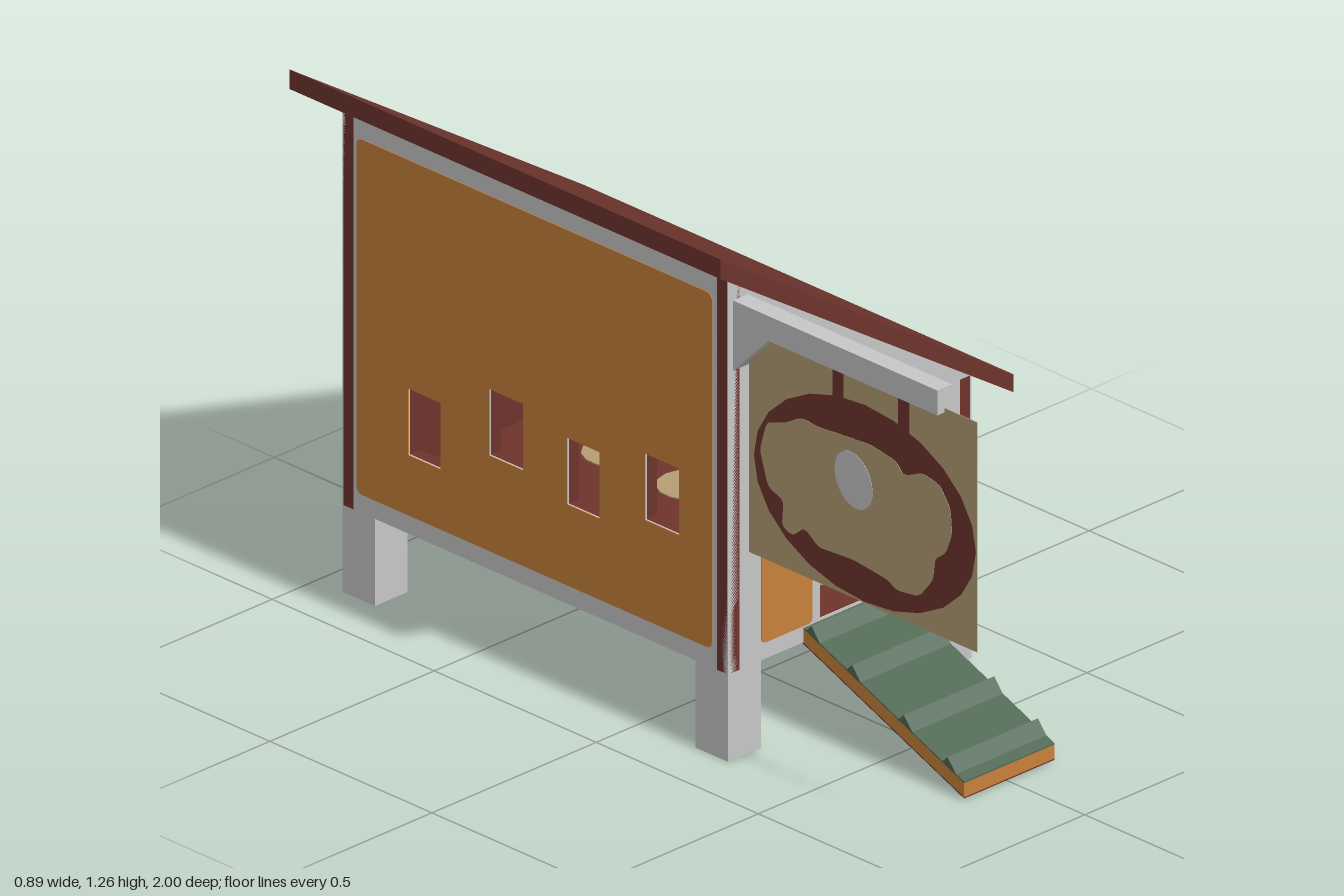
import * as THREE from 'three';

const mat = (name, color) => Object.assign(new THREE.MeshStandardMaterial({ color }), { name });

export function createModel() {
  const grey = mat('plaster grey', 0xc6c6c8);
  const orange = mat('panel orange', 0xc8803a);
  const red = mat('dark red wood', 0x6e342d);
  const tan = mat('tan', 0xb59e73);
  const green = mat('ramp green', 0x4f6854);
  const model = new THREE.Group();

  const add = (name, geometry, material, parent = model) => {
    const mesh = new THREE.Mesh(geometry, material);
    mesh.name = name;
    parent.add(mesh);
    return mesh;
  };
  const box = (name, x0, x1, y0, y1, z0, z1, material) => {
    const mesh = add(name, new THREE.BoxGeometry(x1 - x0, y1 - y0, z1 - z0), material);
    mesh.position.set((x0 + x1) / 2, (y0 + y1) / 2, (z0 + z1) / 2);
    return mesh;
  };
  const shapeOf = pts => new THREE.Shape(pts.map(p => new THREE.Vector2(...p)));
  const rect = (x0, x1, y0, y1) => [[x0, y0], [x1, y0], [x1, y1], [x0, y1]];
  const mirror = pts => pts.map(([x, y]) => [-x, y]);
  // Polygon with softened corners
  const roundPoly = (pts, r) => {
    const shape = new THREE.Shape();
    const v = pts.map(p => new THREE.Vector2(...p));
    v.forEach((p, i) => {
      const toward = q => p.clone().lerp(q, Math.min(0.5, r / p.distanceTo(q)));
      const a = toward(v[(i + v.length - 1) % v.length]);
      const b = toward(v[(i + 1) % v.length]);
      if (i === 0) shape.moveTo(a.x, a.y); else shape.lineTo(a.x, a.y);
      shape.quadraticCurveTo(p.x, p.y, b.x, b.y);
    });
    shape.closePath();
    return shape;
  };
  // Extrusion from z0 to z1, with rectangular openings
  const slab = (shape, z0, z1, holes = []) => {
    const s = shape.clone();
    holes.forEach(h => s.holes.push(new THREE.Path(h.map(p => new THREE.Vector2(...p)))));
    return new THREE.ExtrudeGeometry(s, { depth: z1 - z0, bevelEnabled: false, curveSegments: 6 })
      .translate(0, 0, z0);
  };
  // Profile drawn in (z, y), extruded across x
  const across = (shape, x0, x1) => slab(shape, -x1, -x0).rotateY(-Math.PI / 2);

  // Wall: red core, grey facing and orange panels
  const wall = (name, outline, panels, holes) => {
    const group = new THREE.Group();
    group.name = name;
    add(name + 'Core', slab(shapeOf(outline), -0.035, -0.004, holes), red, group);
    add(name + 'Facing', slab(shapeOf(outline), -0.004, 0, holes), grey, group);
    panels.forEach(({ shape, cut = [] }) => add(name + 'Panel', slab(shape, 0, 0.002, cut), orange, group));
    model.add(group);
    return group;
  };

  const X0 = -0.365, X1 = 0.375, Z0 = -0.92, Z1 = 0.27, LOW = 0.21;
  const gable = [[X0, LOW], [X1, LOW], [X1, 0.68], [X0, 1.155]];

  // Front wall with door and two small windows
  const doorPanel = [
    [-0.265, 0.25], [-0.11, 0.25], [-0.11, 0.45], [-0.143, 0.46], [-0.138, 0.54], [-0.11, 0.517],
    [-0.075, 0.517], [-0.05, 0.55], [-0.025, 0.57], [0.025, 0.57], [0.06, 0.55], [0.09, 0.515],
    [0.115, 0.513], [0.155, 0.537], [0.157, 0.457], [0.115, 0.445], [0.115, 0.25], [0.27, 0.25],
    [0.27, 0.612], [-0.265, 0.612]];
  const frontPanels = [
    roundPoly(doorPanel, 0.015),
    roundPoly([[-0.265, 0.83], [0.06, 0.83], [0.04, 0.85], [-0.25, 1.04], [-0.265, 1.035]], 0.008),
    shapeOf([[-0.265, 0.675], [-0.255, 0.67], [-0.15, 0.67], [-0.15, 0.77], [-0.255, 0.775], [-0.265, 0.77]]),
    shapeOf(rect(-0.08, 0.08, 0.668, 0.768)),
    roundPoly([[0.15, 0.665], [0.27, 0.662], [0.27, 0.698], [0.15, 0.765]], 0.01),
  ].map(shape => ({ shape }));
  const frontHoles = [rect(-0.085, 0.09, 0.25, 0.49), rect(-0.15, -0.08, 0.672, 0.775), rect(0.08, 0.15, 0.663, 0.77)];
  wall('frontWall', gable, frontPanels, frontHoles).position.z = Z1;

  // Back wall
  const backPanel = [[-0.305, 0.258], [0.335, 0.258], [0.335, 0.66], [-0.305, 1.075]];
  const back = wall('backWall', mirror(gable), [{ shape: roundPoly(mirror(backPanel), 0.025) }], []);
  back.rotation.y = Math.PI;
  back.position.z = Z0;

  // Side walls share four staggered windows
  const windows = [[0.015, 0.12, 0.495], [-0.225, -0.125, 0.45], [-0.465, -0.36, 0.485], [-0.715, -0.615, 0.4]]
    .map(([a, b, y]) => rect(a, b, y, y + 0.16));
  [['tallWall', -1, X0, 1.155, 1.11], ['lowWall', 1, X1, 0.68, 0.672]].forEach(([name, side, x, top, panelTop]) => {
    const turn = pts => (side > 0 ? mirror(pts) : pts);
    const cut = windows.map(turn);
    const shape = roundPoly(turn(rect(-0.875, 0.222, 0.255, panelTop)), 0.02);
    const group = wall(name, turn(rect(Z0, Z1, LOW, top)), [{ shape, cut }], cut);
    group.rotation.y = side * Math.PI / 2;
    group.position.x = x;
  });

  // Floor with round spots on both faces
  box('floor', X0 + 0.005, X1 - 0.005, LOW + 0.001, 0.25, Z0 + 0.005, Z1 - 0.005, red);
  [[0.18, -0.63], [0.18, -0.4], [0.17, -0.12], [0.07, 0.09], [-0.2, -0.51], [-0.215, -0.28], [-0.235, -0.01], [-0.14, 0.13]]
    .forEach(([x, z]) => {
      const spot = add('floorSpot', new THREE.CylinderGeometry(0.075, 0.075, 0.045, 14), tan);
      spot.position.set(x, 0.2305, z);
    });

  // Legs
  for (const x of [X0, X1 - 0.1]) for (const z of [Z0, Z1 - 0.1])
    box('leg', x, x + 0.1, 0, LOW, z, z + 0.1, grey);

  // Single-pitch roof
  add('roof', slab(shapeOf([[-0.447, 1.21], [0.445, 0.635], [0.445, 0.678], [-0.447, 1.257]]), -1, 0.33), red);

  // Entrance ramp: red underside, orange body, green tread and cleats
  const rampLayer = (name, lo, hi, x0, x1, material) => add(name, across(shapeOf([
    [0.765, 0.004 + lo], [0.262, 0.208 + lo], [0.262, 0.208 + hi], [0.765, 0.004 + hi]]), x0, x1), material);
  rampLayer('rampUnderside', 0, 0.003, -0.135, 0.14, red);
  rampLayer('rampBody', 0.003, 0.037, -0.135, 0.14, orange);
  rampLayer('rampTread', 0.037, 0.04, -0.135, 0.14, green);
  [0.72, 0.585, 0.425, 0.3].forEach(z => {
    const y = 0.042 + (0.765 - z) * 0.406;
    add('rampCleat', across(shapeOf([[z + 0.025, y - 0.012], [z - 0.025, y + 0.008], [z - 0.006, y + 0.026]]), -0.135, 0.14), green);
  });

  // Sign beam and brace
  box('signBeam', -0.35, -0.305, 1.045, 1.105, Z1 - 0.01, 0.9, grey);
  add('beamBrace', across(shapeOf([[0.38, 1.046], [0.268, 0.934], [0.268, 1.046]]), -0.35, -0.305), grey);

  // Hanging sign board with painted ring, blob and oval
  const signX = -0.327;
  const plate = (name, shape, half, material) => add(name, across(shape, signX - half, signX + half), material);
  const oval = (z, y, rz, ry, turn = 0) => new THREE.Shape().absellipse(z, y, rz, ry, 0, Math.PI * 2, false, turn);
  plate('signBoard', shapeOf(rect(0.297, 1, 0.502, 1.055)), 0.001, tan);
  plate('signRing', new THREE.Shape(oval(0.655, 0.742, 0.342, 0.237).getPoints(12)), 0.002, red);
  [0.775, 0.572].forEach(z => plate('signHanger', shapeOf(rect(z - 0.017, z + 0.017, 0.93, 1.045)), 0.002, red));
  const blob = [
    [0.925, 0.76], [0.92, 0.82], [0.888, 0.866], [0.834, 0.877], [0.775, 0.85], [0.754, 0.877], [0.674, 0.89],
    [0.567, 0.882], [0.513, 0.877], [0.46, 0.882], [0.406, 0.85], [0.353, 0.834], [0.332, 0.76], [0.358, 0.68],
    [0.406, 0.663], [0.4, 0.6], [0.433, 0.588], [0.47, 0.62], [0.513, 0.588], [0.62, 0.595], [0.727, 0.583],
    [0.754, 0.567], [0.824, 0.577], [0.866, 0.63], [0.872, 0.684], [0.904, 0.706]];
  plate('signBlob', roundPoly(blob, 0.015), 0.003, tan);
  plate('signOval', new THREE.Shape(oval(0.622, 0.787, 0.056, 0.068, 0.45).getPoints(12)), 0.004, grey);

  return model;
}
